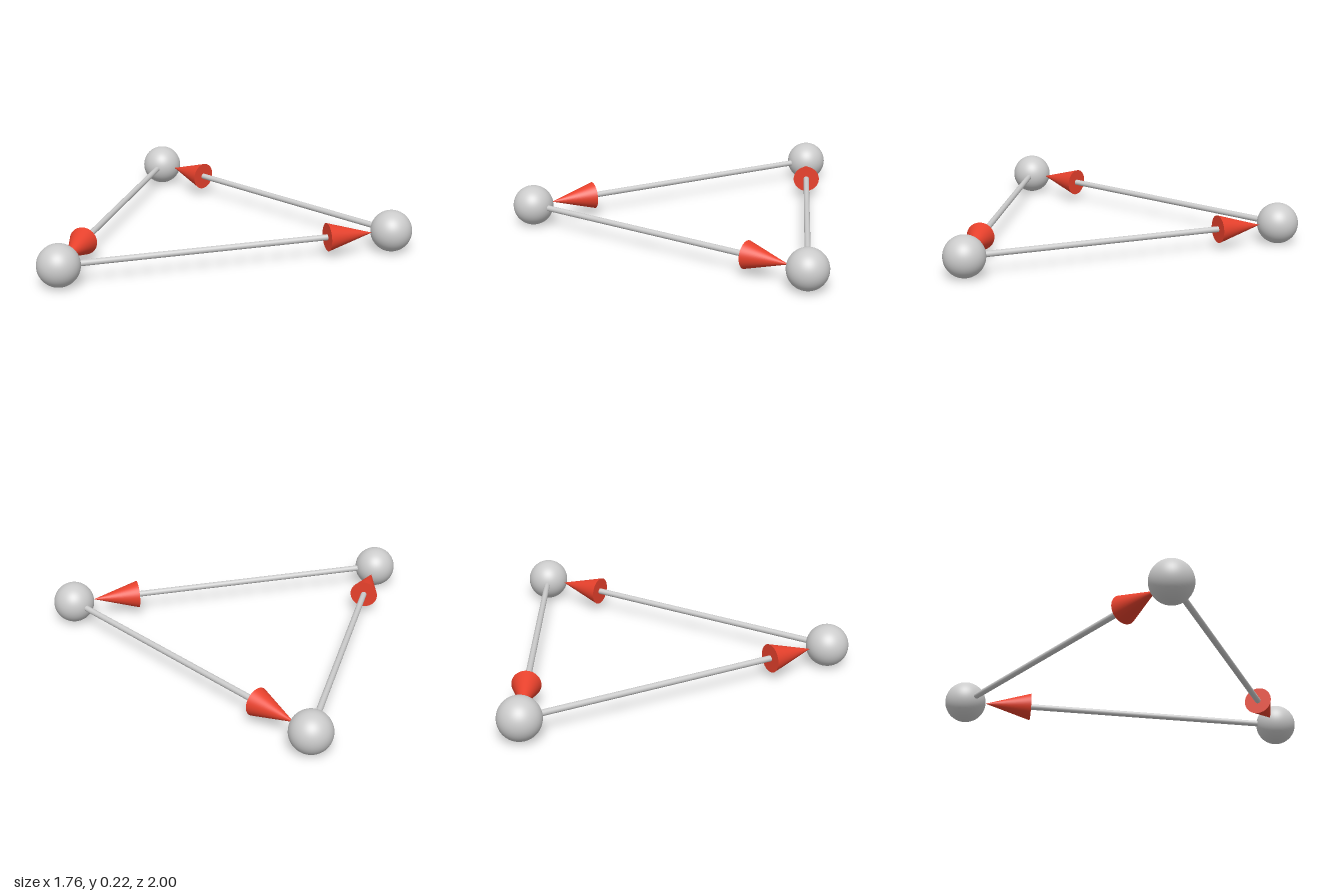
import * as THREE from 'three';

const BALL_R = 0.111, ROD_R = 0.016, HEAD_R = 0.075, HEAD_LEN = 0.25;

export function createModel() {
  const grey = new THREE.MeshStandardMaterial({ color: 0xcccccc });
  const red = new THREE.MeshStandardMaterial({ color: 0xe8412c });
  const model = new THREE.Group();
  model.name = 'triangleCycle';

  // Corners of an equilateral triangle, in the order the arrows run
  const corners = [[-0.77, 0.889], [0.77, 0], [-0.77, -0.889]]
    .map(([x, z]) => new THREE.Vector3(x, BALL_R, z));

  const ballGeometry = new THREE.SphereGeometry(BALL_R, 48, 32);
  const side = corners[0].distanceTo(corners[1]);
  const tip = side - BALL_R;          // arrow tip touches the next ball
  const headBase = tip - HEAD_LEN;

  // Arrow parts run along +y from the starting corner
  const rodStart = BALL_R * 0.9;
  const rodGeometry = new THREE.CylinderGeometry(ROD_R, ROD_R, headBase - rodStart, 24)
    .translate(0, (headBase + rodStart) / 2, 0);
  const headGeometry = new THREE.ConeGeometry(HEAD_R, HEAD_LEN, 48)
    .translate(0, headBase + HEAD_LEN / 2, 0);

  const add = (parent, name, geometry, material) => {
    const mesh = new THREE.Mesh(geometry, material);
    mesh.name = name;
    parent.add(mesh);
    return mesh;
  };

  corners.forEach((from, i) => {
    add(model, `ball${i + 1}`, ballGeometry, grey).position.copy(from);

    // Arrow to the next corner
    const to = corners[(i + 1) % corners.length];
    const arrow = new THREE.Group();
    arrow.name = `arrow${i + 1}`;
    add(arrow, 'rod', rodGeometry, grey);
    add(arrow, 'arrowHead', headGeometry, red);
    arrow.position.copy(from);
    arrow.quaternion.setFromUnitVectors(
      new THREE.Vector3(0, 1, 0), to.clone().sub(from).normalize());
    model.add(arrow);
  });

  return model;
}
